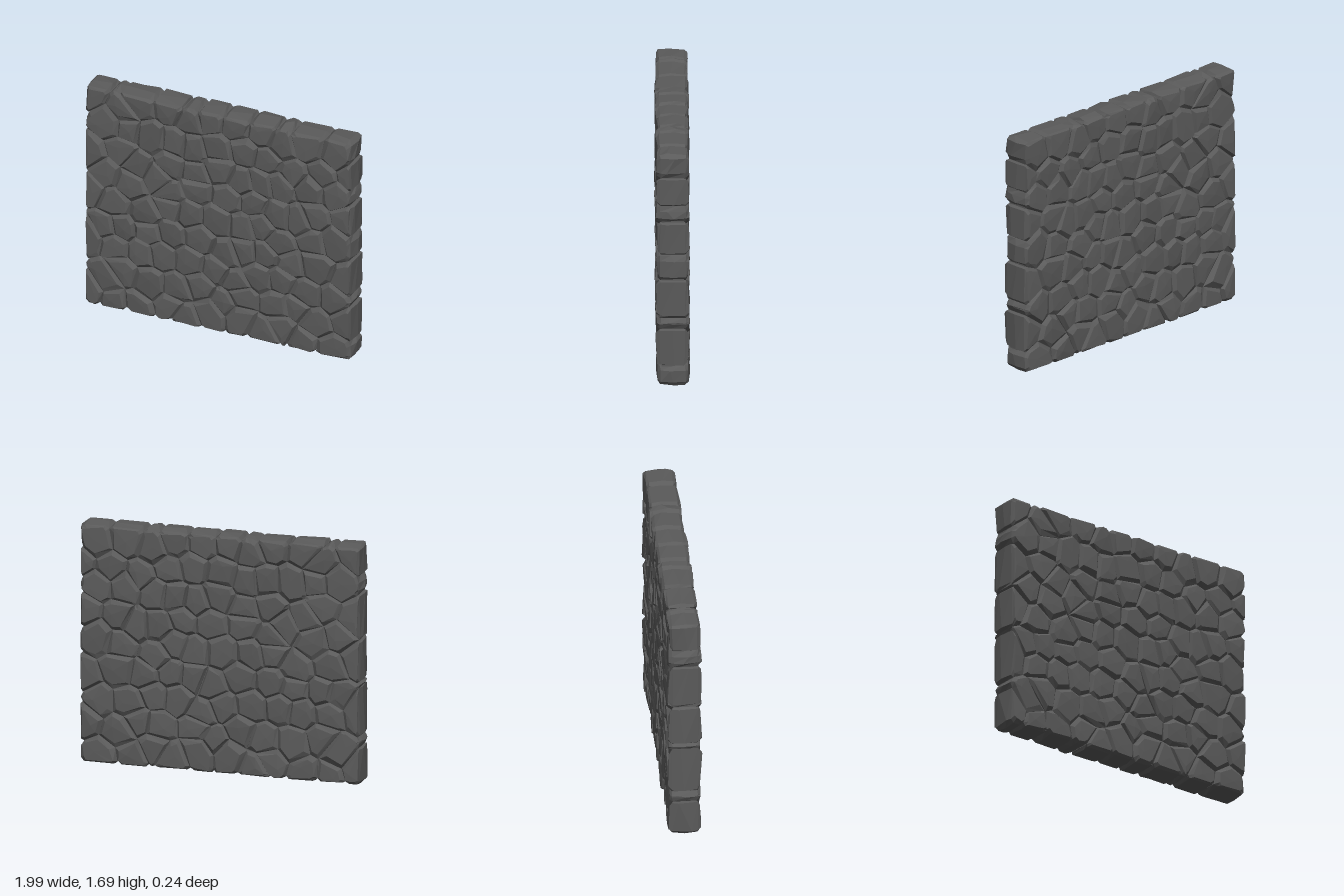
import * as THREE from 'three';

const W = 0.985, H = 0.833, MID_Y = 0.845; // half width, half height, centre height
const COLS = 11, ROWS = 9;
const SEAM_Z = 0.085;

// Small seeded random generator
let seed = 4711;
const rnd = (a = 0, b = 1) => {
  seed = (seed * 1664525 + 1013904223) % 4294967296;
  return a + (b - a) * (seed / 4294967296);
};

// Keep the part of a convex polygon where (p - m) . n <= 0
function clip(poly, m, n) {
  const out = [];
  const dist = (p) => (p.x - m.x) * n.x + (p.y - m.y) * n.y;
  poly.forEach((a, i) => {
    const b = poly[(i + 1) % poly.length], da = dist(a), db = dist(b);
    if (da <= 0) out.push(a);
    if ((da < 0 && db > 0) || (da > 0 && db < 0)) out.push(a.clone().lerp(b, da / (da - db)));
  });
  return out;
}

const onX = (p) => Math.abs(p.x) > W - 1e-4;
const onY = (p) => Math.abs(p.y) > H - 1e-4;

// Outline of one stone: the region of the wall nearest to its own seed
function cell(s, seeds) {
  let poly = [[-W, -H], [W, -H], [W, H], [-W, H]].map(([x, y]) => new THREE.Vector2(x, y));
  for (const t of seeds) {
    if (t === s || t.distanceTo(s) > 0.8) continue;
    poly = clip(poly, s.clone().add(t).multiplyScalar(0.5), t.clone().sub(s));
  }
  poly = poly.filter((p, i) => onX(p) || onY(p) ||
    p.distanceTo(poly[(i + 1) % poly.length]) > 0.015);

  // Knock off the corners on the wall's rim so the joints show in its outline
  const out = [];
  poly.forEach((p, i) => {
    if (!onX(p) && !onY(p)) return out.push(p);
    for (const q of [poly[(i + poly.length - 1) % poly.length], poly[(i + 1) % poly.length]]) {
      const len = p.distanceTo(q);
      out.push(p.clone().lerp(q, Math.min(0.4, rnd(0.016, 0.032) / len)));
    }
  });
  return out;
}

// One stone running through the wall, with bevelled, slightly tilted faces
function stoneGeometry(outline) {
  const c = outline.reduce((a, p) => a.add(p), new THREE.Vector2()).divideScalar(outline.length);
  const n = outline.length;

  const face = (side) => {
    const tx = rnd(-0.07, 0.07), ty = rnd(-0.07, 0.07), lift = rnd(0.104, 0.111);
    const top = (x, y) => side * THREE.MathUtils.clamp(lift + tx * (x - c.x) + ty * (y - c.y), 0.096, 0.118);
    const ring = outline.map((p) => {
      const q = p.clone().lerp(c, rnd(0.13, 0.32));
      return new THREE.Vector3(q.x, q.y, top(q.x, q.y));
    });
    const x = c.x + rnd(-0.025, 0.025), y = c.y + rnd(-0.025, 0.025);
    return { ring, tip: new THREE.Vector3(x, y, top(x, y) + side * rnd(0.001, 0.006)) };
  };
  const rim = (z, jitter, push) => outline.map((p) => {
    const q = new THREE.Vector3(p.x, p.y, z + rnd(-jitter, jitter));
    const d = push + rnd(-0.005, 0.005);
    if (onX(p)) q.x += Math.sign(p.x) * d;
    if (onY(p)) q.y += Math.sign(p.y) * d;
    return q;
  });

  const front = face(1), back = face(-1);
  const rings = [front.ring, rim(SEAM_Z, 0.006, -0.003), rim(0, 0.045, 0.007),
    rim(-SEAM_Z, 0.006, -0.003), back.ring];
  const pts = [];
  for (let i = 0; i < n; i++) {
    const j = (i + 1) % n;
    pts.push(front.tip, front.ring[i], front.ring[j], back.tip, back.ring[j], back.ring[i]);
    for (let k = 0; k < rings.length - 1; k++) {
      const a = rings[k][i], b = rings[k + 1][i], d = rings[k + 1][j], e = rings[k][j];
      pts.push(a, b, d, a, d, e);
    }
  }
  // Unshared corners give faceted normals
  const g = new THREE.BufferGeometry().setFromPoints(pts);
  g.computeVertexNormals();
  return g;
}

export function createModel() {
  seed = 4711;
  const stone = new THREE.MeshStandardMaterial({ color: 0x5a5a5a });
  stone.name = 'dark grey stone';
  const wall = new THREE.Group();
  wall.name = 'stoneWall';

  // Scattered seeds in staggered courses
  const seeds = [];
  for (let r = 0; r < ROWS; r++) {
    for (let k = 0; k < COLS; k++) {
      const u = (k + 0.5 + (r % 2 ? 0.2 : -0.2) + rnd(-0.3, 0.3)) / COLS;
      const v = (r + 0.5 + rnd(-0.33, 0.33)) / ROWS;
      seeds.push(new THREE.Vector2((u * 2 - 1) * W, (v * 2 - 1) * H));
    }
  }

  // Stones, grouped by course
  for (let r = 0; r < ROWS; r++) {
    const course = new THREE.Group();
    course.name = `stoneCourse${r + 1}`;
    for (let k = 0; k < COLS; k++) {
      const mesh = new THREE.Mesh(stoneGeometry(cell(seeds[r * COLS + k], seeds)), stone);
      mesh.name = 'stone';
      mesh.position.y = MID_Y;
      course.add(mesh);
    }
    wall.add(course);
  }

  // Solid core closing the joints
  const core = new THREE.Mesh(new THREE.BoxGeometry(2 * W - 0.04, 2 * H - 0.04, 0.15), stone);
  core.name = 'wallCore';
  core.position.y = MID_Y;
  wall.add(core);
  return wall;
}
